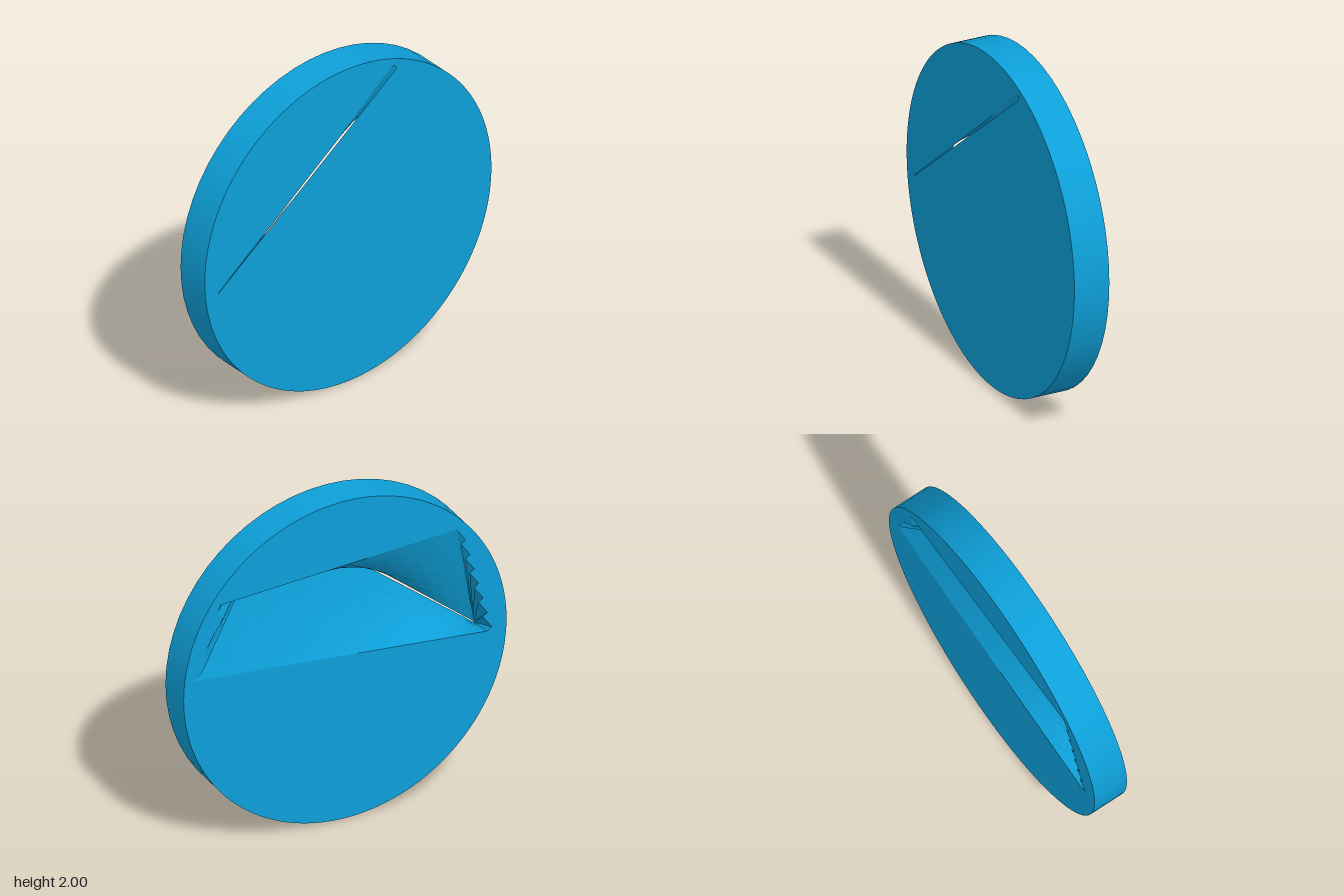
import * as THREE from 'three';

const R = 1, HALF = 0.108, SEGMENTS = 60;
const v = (z, y) => new THREE.Vector2(z, y);

// Evenly spaced points from a to b, leaving out b
function line(a, b, n) {
  return Array.from({ length: n }, (_, i) => a.clone().lerp(b, i / n));
}

// Points spread along a polyline at the same count as another edge
function along(points, n) {
  const path = new THREE.CurvePath();
  for (let i = 1; i < points.length; i++) path.add(new THREE.LineCurve(points[i - 1], points[i]));
  return Array.from({ length: n }, (_, i) => path.getPoint(i / n));
}

// Saw-toothed edge from a to b
function teeth(a, b, count, depth) {
  const out = [];
  for (let k = 0; k < count; k++) {
    out.push(a.clone().lerp(b, k / count));
    const p = a.clone().lerp(b, (k + 0.8) / count);
    p.x += depth;
    out.push(p);
  }
  return out;
}

// Opening outlines in (z, y), both with the same number of points
function openings() {
  const LONG = 16, TEETH = 7, END = 10;
  const tl = v(-0.77, 0.545), tr = v(0.69, 0.64), br = v(0.88, -0.05), bl = v(-0.96, 0.11);
  const wide = [
    ...line(tl, tr, LONG),
    ...teeth(tr, br, TEETH, 0.035),
    ...line(br, bl, LONG),
    ...along([bl, v(-0.88, 0.134), v(-0.87, 0.26), v(-0.81, 0.377), v(-0.75, 0.444), v(-0.8, 0.52), tl], END),
  ];
  const top = v(-0.31, 0.905), tip = v(-0.335, 0.875), lowA = v(0.905, -0.1), lowB = v(0.91, -0.11);
  const slit = [
    ...along([top, v(-0.26, 0.865), v(0.02, 0.615), lowA], LONG),
    ...line(lowA, lowB, TEETH * 2),
    ...line(lowB, tip, LONG),
    ...along([tip, v(-0.335, 0.9), top], END),
  ];
  return { wide, slit };
}

// Round face with an opening; side is +1 for the left face, -1 for the right face
function face(outline, side) {
  const shape = new THREE.Shape();
  shape.absarc(0, 0, R, 0, Math.PI * 2, false);
  shape.holes.push(new THREE.Path(outline.map(p => v(-side * p.x, p.y))));
  const g = new THREE.ShapeGeometry(shape, SEGMENTS);
  g.rotateY(side * Math.PI / 2);
  g.translate(side * HALF, 0, 0);
  return g;
}

// Twisted walls joining the wide opening to the narrow slit
function cavityWalls(wide, slit) {
  const STEPS = 6, n = wide.length, pos = [], index = [];
  for (let s = 0; s <= STEPS; s++) {
    const t = s / STEPS;
    for (let i = 0; i < n; i++) {
      const p = wide[i].clone().lerp(slit[i], t);
      pos.push(-HALF + 2 * HALF * t, p.y, p.x);
    }
  }
  for (let s = 0; s < STEPS; s++) {
    for (let i = 0; i < n; i++) {
      const j = (i + 1) % n, a = s * n + i, b = s * n + j, c = a + n, d = b + n;
      index.push(a, c, b, b, c, d);
    }
  }
  const g = new THREE.BufferGeometry();
  g.setAttribute('position', new THREE.Float32BufferAttribute(pos, 3));
  g.setIndex(index);
  const flat = g.toNonIndexed();
  flat.computeVertexNormals();
  return flat;
}

export function createModel() {
  const group = new THREE.Group();
  group.name = 'slottedDisc';
  const material = new THREE.MeshStandardMaterial({ color: 0x0d9fd8 });
  const wallMaterial = new THREE.MeshStandardMaterial({ color: 0x0d9fd8, side: THREE.DoubleSide });
  const add = (geometry, name, mat = material) => {
    const mesh = new THREE.Mesh(geometry, mat);
    mesh.name = name;
    mesh.position.y = R;
    group.add(mesh);
  };

  const { wide, slit } = openings();

  // Rim, lying along x
  const rim = new THREE.CylinderGeometry(R, R, HALF * 2, SEGMENTS, 1, true);
  rim.rotateZ(Math.PI / 2);
  add(rim, 'rim');

  // Faces and the cavity between them
  add(face(slit, 1), 'slitFace');
  add(face(wide, -1), 'openFace');
  add(cavityWalls(wide, slit), 'cavityWalls', wallMaterial);
  return group;
}
